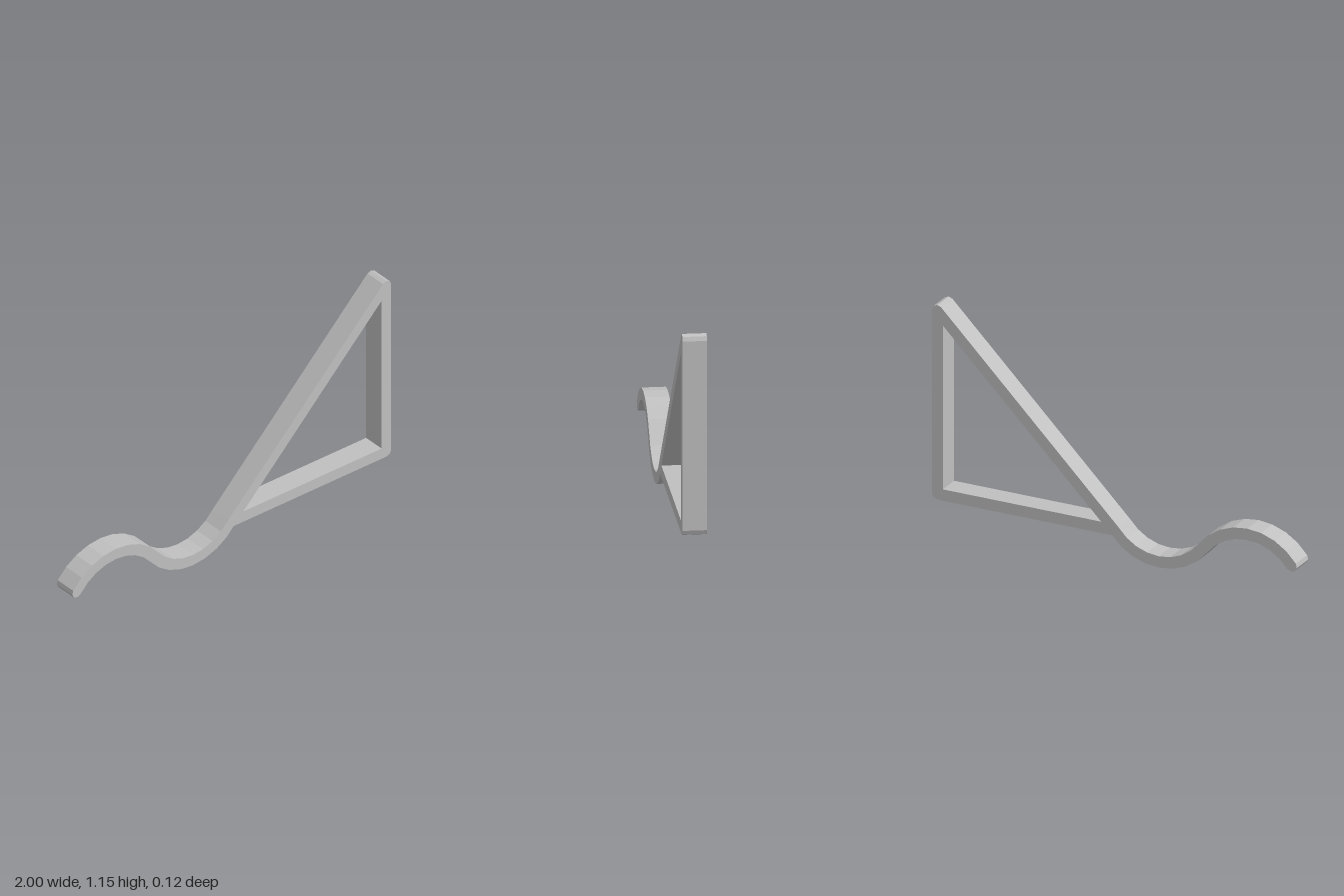
import * as THREE from 'three';

const HALF = 0.03;    // half of the bar thickness
const DEPTH = 0.12;   // extrusion along z
const MID = 0.155;    // height of the wave's midline
const P = (x, y) => new THREE.Vector2(x, y);

// Points on an arc, angles in degrees
function arc(cx, cy, r, from, to, steps) {
  return Array.from({ length: steps + 1 }, (_, i) => {
    const a = THREE.MathUtils.degToRad(from + (to - from) * i / steps);
    return P(cx + r * Math.cos(a), cy + r * Math.sin(a));
  });
}

function extrude(name, outline, material, hole) {
  const shape = new THREE.Shape(outline);
  if (hole) shape.holes.push(new THREE.Path(hole));
  const geometry = new THREE.ExtrudeGeometry(shape, { depth: DEPTH, bevelEnabled: false });
  geometry.translate(0, 0, -DEPTH / 2);
  const mesh = new THREE.Mesh(geometry, material);
  mesh.name = name;
  return mesh;
}

export function createModel() {
  const group = new THREE.Group();
  group.name = 'wavyTriangle';
  const grey = new THREE.MeshStandardMaterial({ color: 0xc0c0c0 });
  grey.name = 'lightGrey';

  // Shared joint between wave and triangle
  const jointTop = P(-0.021, 0.176), jointBottom = P(0.012, 0.125);

  // Wave: an arch followed by a trough, with a rounded free end
  const chord = 0.2425, rise = 0.121;
  const R = (chord * chord + rise * rise) / (2 * rise);
  const half = THREE.MathUtils.radToDeg(Math.asin(chord / R));
  const archX = -0.7275, troughX = -0.2425;
  const archY = MID + rise - R, troughY = MID - rise + R;
  const edge = side => [
    ...arc(archX, archY, R + side * HALF, 90 + half, 90 - half, 8),
    ...arc(troughX, troughY, R - side * HALF, 270 - half, 270 + half, 8).slice(1, -1),
  ];
  const cap = arc(-0.97, MID, HALF, 90 + half, 270 + half, 4).slice(1, -1);
  group.add(extrude('wave',
    [...cap, ...edge(-1), jointBottom, jointTop, ...edge(1).reverse()], grey));

  // Right triangle frame with rounded corners
  const outer = [
    jointBottom,
    ...arc(0.97, MID, HALF, -90, 0, 2),
    ...arc(0.97, 1.125, HALF, 0, 135, 3),
    jointTop,
  ];
  const inner = [P(0.072, 0.185), P(0.94, 1.053), P(0.94, 0.185)];
  group.add(extrude('triangleFrame', outer, grey, inner));

  return group;
}
